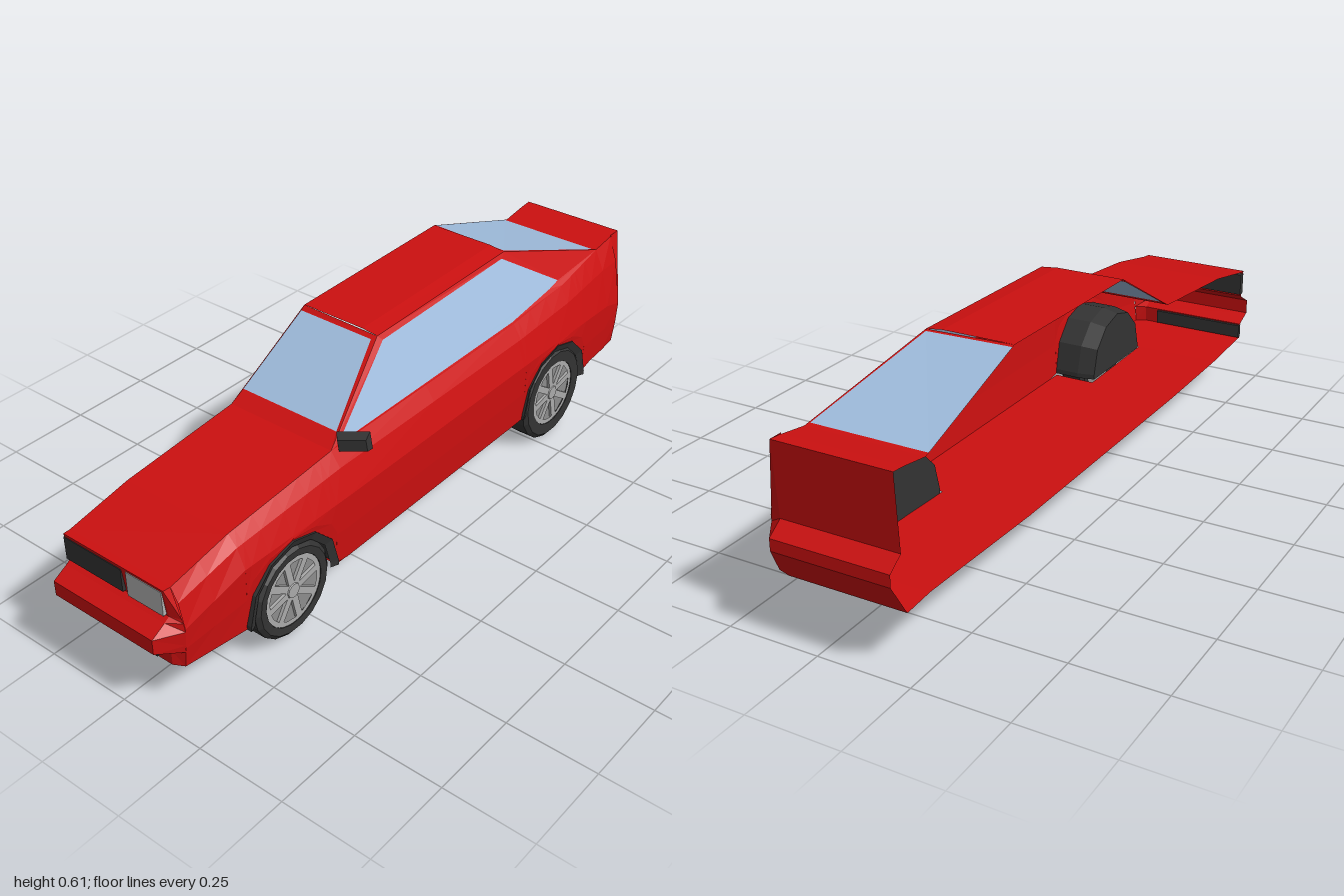
import * as THREE from 'three';

const material = (color) => new THREE.MeshStandardMaterial({ color, flatShading: true, side: THREE.DoubleSide });
const CUT = -0.207; // x of the open centre plane
const AXLES = [{ z: 0.583, y: 0.153, r: 0.133 }, { z: -0.563, y: 0.147, r: 0.145 }];
const ARCH = 0.16, ARCH_Y = 0.15, WELL_X = 0.05;

export function createModel() {
  const car = new THREE.Group();
  const red = material(0xcc1010), dark = material(0x333333), glass = material(0x9fbcdc);
  const lamp = material(0xb4b4b4), rim = material(0x8c8c8c), spokeGrey = material(0xaaaaaa);

  const add = (name, geometry, mat, parent = car) => {
    const mesh = new THREE.Mesh(geometry, mat);
    mesh.name = name;
    parent.add(mesh);
    return mesh;
  };
  const fromTriangles = (corners) => {
    const g = new THREE.BufferGeometry();
    g.setAttribute('position', new THREE.Float32BufferAttribute(corners.flat(), 3));
    g.computeVertexNormals();
    return g;
  };
  // Surface through equal-length rows of points
  const grid = (rows) => {
    const t = [];
    for (let i = 0; i + 1 < rows.length; i++) {
      for (let j = 0; j + 1 < rows[i].length; j++) {
        const [a, b, c, d] = [rows[i][j], rows[i + 1][j], rows[i + 1][j + 1], rows[i][j + 1]];
        t.push(a, b, c, a, c, d);
      }
    }
    return fromTriangles(t);
  };
  const fan = (p) => {
    const t = [];
    for (let i = 1; i + 1 < p.length; i++) t.push(p[0], p[i], p[i + 1]);
    return fromTriangles(t);
  };
  // Painted frame with a pane inside
  const framedWindow = (name, outer, inner) => {
    add(name + 'Frame', grid([[...outer, outer[0]], [...inner, inner[0]]]), red);
    add(name, fan(inner), glass);
  };
  const box = (name, x0, x1, y0, y1, z0, z1, mat) => {
    const m = add(name, new THREE.BoxGeometry(x1 - x0, y1 - y0, z1 - z0), mat);
    m.position.set((x0 + x1) / 2, (y0 + y1) / 2, (z0 + z1) / 2);
  };

  // Side stations: z, bottom y, bottom x, widest y, widest x, belt x, belt y
  const keys = [
    [0.93, 0.147, 0.150, 0.265, 0.161, 0.125, 0.370],
    [0.743, 0.136, 0.166, 0.322, 0.174, 0.125, 0.405],
    [0.38, 0.130, 0.172, 0.322, 0.179, 0.127, 0.437],
    [-0.40, 0.135, 0.172, 0.322, 0.179, 0.128, 0.437],
    [-0.65, 0.145, 0.172, 0.322, 0.179, 0.128, 0.455],
    [-0.85, 0.152, 0.162, 0.310, 0.170, 0.115, 0.484],
    [-0.93, 0.147, 0.150, 0.285, 0.163, 0.115, 0.496],
  ];
  const station = (z) => {
    let i = 0;
    while (i < keys.length - 2 && z < keys[i + 1][0]) i++;
    const t = (z - keys[i][0]) / (keys[i + 1][0] - keys[i][0]);
    return keys[i].map((v, k) => v + (keys[i + 1][k] - v) * t);
  };
  const sideRow = (z, lift) => {
    const [, yb, xb, yw, xw, xt, yt] = station(z);
    const y0 = lift ?? yb;
    const x0 = xb + (xw - xb) * (y0 - yb) / (yw - yb);
    return [
      [x0, y0, z], [(x0 + xw) / 2 + 0.002, (y0 + yw) / 2, z], [xw, yw, z],
      [xw + (xt - xw) * 0.55 + 0.004, yw + (yt - yw) * 0.65, z], [xt, yt, z],
    ];
  };
  // Arch outline as z, y pairs running rearward
  const archPoints = (axle) => {
    const p = [[axle.z + ARCH, 0.136]];
    for (let i = 0; i <= 6; i++) {
      const a = Math.PI * i / 6;
      p.push([axle.z + ARCH * Math.cos(a) * 0.999, ARCH_Y + ARCH * Math.sin(a)]);
    }
    p.push([axle.z - ARCH, 0.136]);
    return p;
  };

  // Body side with both wheel openings
  const arches = AXLES.map(archPoints);
  const cut = (arch) => arch.map(([z, y]) => sideRow(z, y));
  add('bodySide', grid([
    sideRow(0.93), sideRow(0.84), ...cut(arches[0]), sideRow(0.38), sideRow(0),
    sideRow(-0.39), ...cut(arches[1]), sideRow(-0.78), sideRow(-0.85), sideRow(-0.93),
  ]), red);

  // Floor, narrowed between the wheel wells
  const floorRow = (z, x) => [[CUT, station(z)[1], z], [x ?? station(z)[2], station(z)[1], z]];
  const floorRows = [[[CUT, 0.147, 0.945], [0.122, 0.147, 0.945]], floorRow(0.93)];
  for (const { z } of AXLES) {
    floorRows.push(floorRow(z + ARCH), floorRow(z + ARCH, WELL_X), floorRow(z - ARCH, WELL_X), floorRow(z - ARCH));
  }
  floorRows.push(floorRow(-0.85), floorRow(-0.93), [[CUT, 0.147, -0.94], [0.115, 0.147, -0.94]]);
  add('floor', grid(floorRows), red);

  // Front and rear fascias: profile of z, y, corner x, swept across and round the corner
  const fascia = (name, profile, x, cornerZ) => add(name, grid(profile.map(([z, y, cx]) =>
    [[CUT, y, z], [x, y, z], [cx, y, cornerZ]])), red);
  fascia('frontFascia', [
    [0.95, 0.37, 0.125], [0.94, 0.29, 0.153], [0.955, 0.28, 0.157], [0.997, 0.257, 0.161],
    [0.997, 0.215, 0.158], [0.945, 0.193, 0.155], [0.945, 0.147, 0.150],
  ], 0.122, 0.93);
  fascia('rearFascia', [
    [-0.97, 0.50, 0.115], [-0.955, 0.30, 0.160], [-0.997, 0.27, 0.162],
    [-0.997, 0.238, 0.159], [-0.94, 0.147, 0.150],
  ], 0.115, -0.93);

  // Hood, rear deck lip and roof
  const across = (x, y, z) => [[CUT, y, z], [x, y, z]];
  add('hood', grid([across(0.122, 0.37, 0.95), across(0.125, 0.37, 0.93),
    across(0.125, 0.405, 0.743), across(0.127, 0.437, 0.38)]), red);
  add('rearSpoiler', grid([across(0.115, 0.484, -0.85), across(0.115, 0.496, -0.93),
    across(0.115, 0.50, -0.97)]), red);
  const roofFront = [0.038, 0.594, 0.09], roofRear = [0.036, 0.604, -0.475];
  add('roof', grid([
    [[CUT, 0.599, 0.09], [-0.01, 0.599, 0.09], roofFront],
    [[CUT, 0.61, -0.475], [-0.01, 0.61, -0.475], roofRear],
  ]), red);

  // Windows
  const pillarFoot = [0.127, 0.437, 0.38], tail = [0.115, 0.484, -0.85];
  framedWindow('windscreen',
    [[CUT, 0.437, 0.38], pillarFoot, roofFront, [CUT, 0.599, 0.09]],
    [[CUT, 0.460, 0.334], [0.105, 0.460, 0.334], [0.028, 0.587, 0.103], [CUT, 0.588, 0.103]]);
  framedWindow('rearWindow',
    [[CUT, 0.484, -0.85], tail, roofRear, [CUT, 0.61, -0.475]],
    [[CUT, 0.488, -0.838], [0.108, 0.488, -0.838], [0.031, 0.602, -0.483], [CUT, 0.607, -0.483]]);
  const pane = (z, y) => [0.128 - (y - 0.437) * 0.55, y, z];
  framedWindow('sideWindow',
    [pillarFoot, roofFront, roofRear, tail, [0.128, 0.455, -0.65], [0.128, 0.437, -0.40]],
    [pane(0.352, 0.441), pane(0.08, 0.582), pane(-0.455, 0.592), pane(-0.648, 0.466),
      pane(-0.60, 0.459), pane(-0.40, 0.443)]);

  // Nose details
  box('grille', CUT, -0.015, 0.296, 0.361, 0.932, 0.951, dark);
  box('headlight', 0.001, 0.116, 0.294, 0.363, 0.932, 0.951, lamp);
  box('lowerIntake', CUT, 0.078, 0.150, 0.190, 0.936, 0.95, dark);

  // Door mirror
  const mirror = new THREE.Group();
  mirror.name = 'doorMirror';
  const shell = new THREE.BoxGeometry(0.085, 0.05, 0.026);
  const sp = shell.attributes.position;
  for (let i = 0; i < sp.count; i++) { // smaller front face
    if (sp.getZ(i) > 0) sp.setXY(i, sp.getX(i) * 0.85, sp.getY(i) * 0.65);
  }
  add('mirrorShell', shell, dark, mirror);
  add('mirrorGlass', new THREE.BoxGeometry(0.07, 0.038, 0.002), glass, mirror).position.z = -0.0135;
  mirror.position.set(0.163, 0.453, 0.338);
  mirror.rotation.set(0, 0.48, 0.13);
  car.add(mirror);

  // Wheel wells and wheels
  AXLES.forEach((axle, n) => {
    const prefix = n ? 'rear' : 'front';
    const arch = arches[n];
    const ring = (s, x) => arch.map(([z, y]) =>
      [x, y < 0.14 ? y : ARCH_Y + (y - ARCH_Y) * s, axle.z + (z - axle.z) * s]);
    add(prefix + 'WheelWell', grid([ring(0.86, 0.172), ring(1, 0.181), ring(1, 0.10), ring(0.93, WELL_X)]), dark);
    add(prefix + 'WellWall', fan(ring(0.93, WELL_X)), dark);

    const wheel = new THREE.Group();
    wheel.name = prefix + 'Wheel';
    const r = axle.r, hub = 0.1;
    const section = [[hub, -0.034], [r - 0.012, -0.038], [r, -0.028], [r, 0.028], [r - 0.012, 0.038], [hub, 0.036], [hub, 0.02]];
    add('tyre', new THREE.LatheGeometry(section.map(([a, b]) => new THREE.Vector2(a, b)), 18), dark, wheel);
    add('rimDisc', new THREE.CylinderGeometry(hub, hub, 0.05, 18), rim, wheel);
    const band = add('rimBand', new THREE.RingGeometry(0.086, hub, 18), spokeGrey, wheel);
    band.rotation.x = -Math.PI / 2;
    band.position.y = 0.034;
    add('hubCap', new THREE.CylinderGeometry(0.02, 0.026, 0.012, 10), spokeGrey, wheel).position.y = 0.03;
    for (let i = 0; i < 8; i++) {
      const a = i * Math.PI / 4 + 0.2;
      const s = add('spoke', new THREE.BoxGeometry(0.072, 0.008, 0.02), spokeGrey, wheel);
      s.position.set(Math.cos(a) * 0.056, 0.029, -Math.sin(a) * 0.056);
      s.rotation.y = a;
    }
    wheel.rotation.z = -Math.PI / 2;
    wheel.position.set(0.138, axle.y, axle.z);
    car.add(wheel);
  });
  return car;
}
